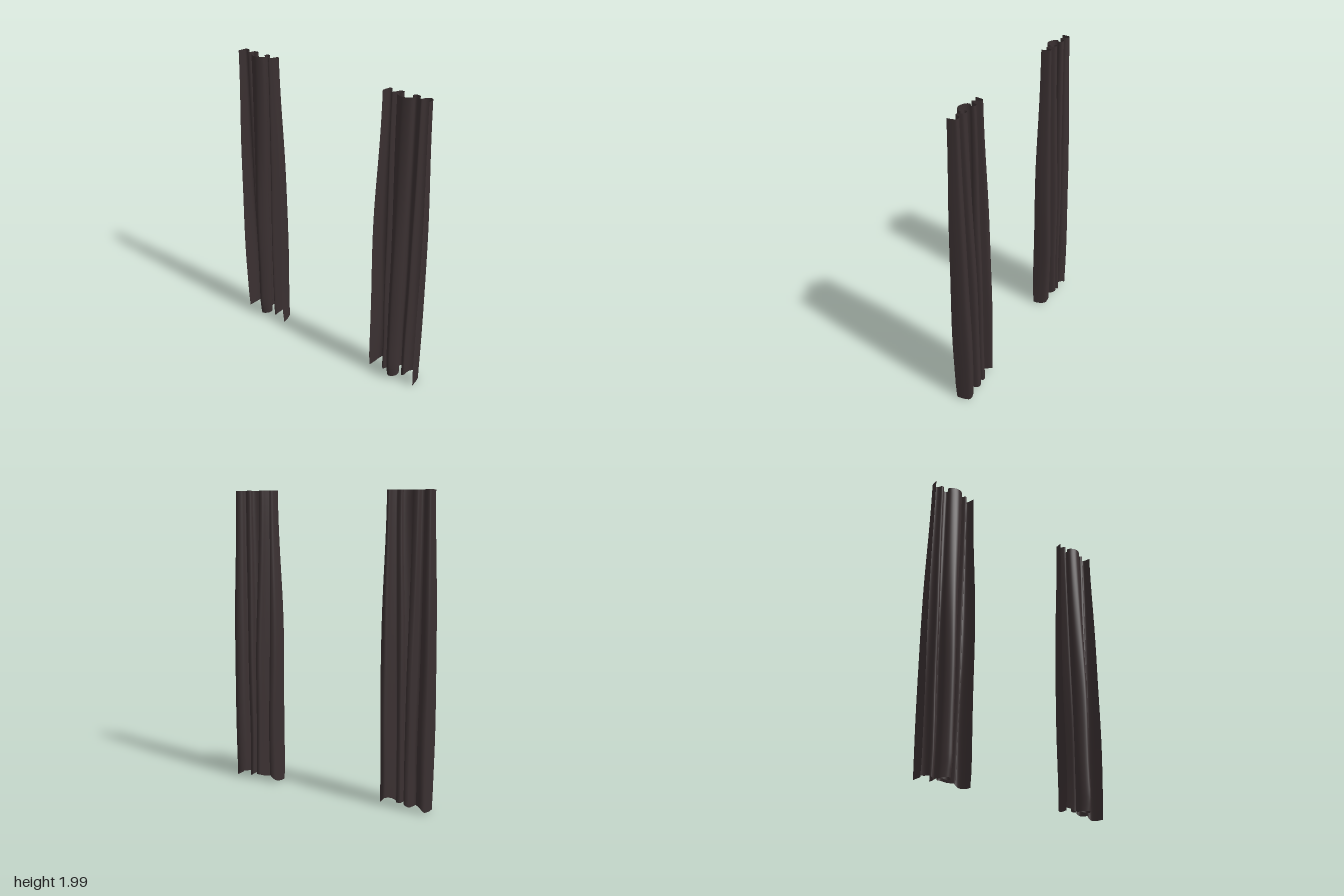
import * as THREE from 'three';

// Fold line of one panel seen from above: [x, z] at the hem, x at the top, hem height
const FOLDS = [
  [0.388, 0.045, 0.412, 0.015],
  [0.394, -0.01, 0.416, 0.015],
  [0.408, -0.055, 0.424, 0.03],
  [0.440, -0.062, 0.438, 0.06],
  [0.462, -0.01, 0.452, 0.05],
  [0.485, 0.030, 0.470, 0.025],
  [0.508, -0.01, 0.485, 0.03],
  [0.528, -0.060, 0.500, 0.05],
  [0.552, -0.060, 0.522, 0.05],
  [0.557, -0.020, 0.525, 0.05],
  [0.527, 0.005, 0.504, 0.04],
  [0.533, 0.048, 0.512, 0.035],
  [0.568, 0.083, 0.555, 0.035],
  [0.602, 0.048, 0.604, 0.035],
  [0.605, 0.005, 0.612, 0.04],
  [0.578, -0.020, 0.592, 0.05],
  [0.584, -0.060, 0.598, 0.045],
  [0.612, -0.055, 0.630, 0.03],
  [0.626, 0.000, 0.642, 0.025],
  [0.650, 0.008, 0.658, 0.04],
  [0.662, -0.045, 0.670, 0.05],
  [0.690, -0.068, 0.690, 0.05],
  [0.722, -0.062, 0.709, 0.02],
  [0.734, -0.020, 0.716, 0.012],
  [0.738, 0.040, 0.720, 0.012],
];
const ROWS = 44;
const COLS = (FOLDS.length - 1) * 5;

// Smooth curves through the fold points, shared by both panels
const hemCurve = new THREE.CatmullRomCurve3(FOLDS.map(([x, z, , h]) => new THREE.Vector3(x, h, z)));
const topCurve = new THREE.CatmullRomCurve3(FOLDS.map(([, z, x]) => new THREE.Vector3(x, 2, z * 0.53)));

function panelGeometry(side) {
  const positions = [], index = [];
  const hem = new THREE.Vector3(), top = new THREE.Vector3();
  for (let r = 0; r <= ROWS; r++) {
    const t = r / ROWS;
    // x leaves the gathered top quickly, z deepens steadily towards the hem
    const blendX = THREE.MathUtils.smoothstep(t, 0.35, 1);
    const blendZ = THREE.MathUtils.smoothstep(t, 0.2, 1.1);
    const bulge = 1 + 0.055 * Math.exp(-(((t - 0.66) / 0.22) ** 2));
    const tuck = 1 - 0.18 * Math.max(0, 1 - t / 0.05);
    for (let c = 0; c <= COLS; c++) {
      const u = c / COLS;
      hemCurve.getPoint(u, hem);
      topCurve.getPoint(u, top);
      let x = THREE.MathUtils.lerp(hem.x, top.x, blendX);
      let z = THREE.MathUtils.lerp(hem.z, top.z, blendZ);
      x = 0.563 + (x - 0.563) * bulge;
      // Gentle sway of the cloth down its length
      x += 0.004 * Math.sin(t * 9 + u * 5) * (1 - t);
      z += 0.003 * Math.sin(t * 13 + u * 17) * (1 - t);
      if (z > 0) z *= tuck;
      positions.push(side * x, THREE.MathUtils.lerp(hem.y, 2, t), z);
      if (r < ROWS && c < COLS) {
        const a = r * (COLS + 1) + c, b = a + 1, d = a + COLS + 1, e = d + 1;
        if (side > 0) index.push(a, b, e, a, e, d);
        else index.push(a, e, b, a, d, e);
      }
    }
  }
  const geometry = new THREE.BufferGeometry();
  geometry.setAttribute('position', new THREE.Float32BufferAttribute(positions, 3));
  geometry.setIndex(index);
  geometry.computeVertexNormals();
  return geometry;
}

export function createModel() {
  const group = new THREE.Group();
  group.name = 'curtains';
  const cloth = new THREE.MeshStandardMaterial({ color: 0x3a3031, side: THREE.DoubleSide });
  cloth.name = 'dark brown cloth';

  // A mirrored pair of pleated panels
  for (const [name, side] of [['leftCurtain', 1], ['rightCurtain', -1]]) {
    const panel = new THREE.Mesh(panelGeometry(side), cloth);
    panel.name = name;
    group.add(panel);
  }
  return group;
}
